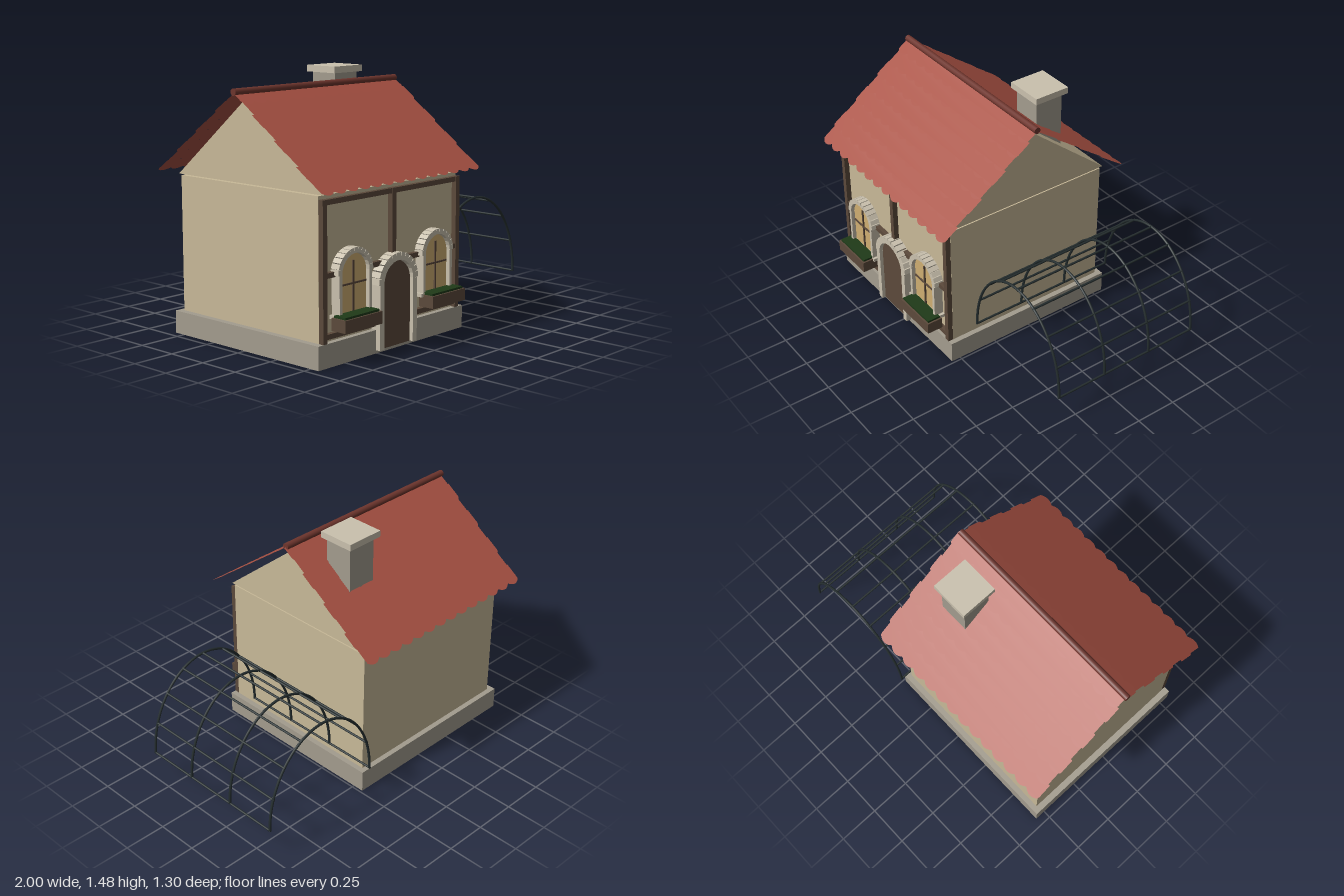
import * as THREE from 'three';
import { mergeGeometries } from 'three/addons/utils/BufferGeometryUtils.js';

const mat = (color, extra = {}) => new THREE.MeshStandardMaterial({ color, ...extra });
const M = {
  wall: mat(0xc8b998), stone: mat(0xa39c8e), paleStone: mat(0xcac1ae), timber: mat(0x5c4a3b),
  roof: mat(0xa85143, { side: THREE.DoubleSide }), ridge: mat(0x6e352d), glass: mat(0xcfae72),
  leaf: mat(0x1f3a18), frame: mat(0x252e2f),
};
const CX = -0.356; // centre line of the house

function add(parent, name, geometry, material) {
  const mesh = new THREE.Mesh(geometry, material);
  mesh.name = name;
  parent.add(mesh);
  return mesh;
}

// Box given by its two extreme corners
function box(parent, name, material, x0, x1, y0, y1, z0, z1) {
  const mesh = add(parent, name, new THREE.BoxGeometry(x1 - x0, y1 - y0, z1 - z0), material);
  mesh.position.set((x0 + x1) / 2, (y0 + y1) / 2, (z0 + z1) / 2);
  return mesh;
}

// Round-topped panel for the door and the windows
function archPanel(parent, name, material, cx, r, y0, spring, z0, z1) {
  const s = new THREE.Shape();
  s.moveTo(cx - r, y0);
  s.lineTo(cx + r, y0);
  s.lineTo(cx + r, spring);
  s.absarc(cx, spring, r, 0, Math.PI, false);
  s.closePath();
  const g = new THREE.ExtrudeGeometry(s, { depth: z1 - z0, bevelEnabled: false, curveSegments: 20 });
  g.translate(0, 0, z0);
  add(parent, name, g, material);
}

// Two jambs and a ring of separate arch stones
function stoneSurround(parent, cx, r, jamb, ring, y0, spring, z0, z1, count) {
  for (const s of [-1, 1]) {
    const a = cx + s * r, b = cx + s * (r + jamb);
    box(parent, 'jamb', M.paleStone, Math.min(a, b), Math.max(a, b), y0, spring, z0, z1);
  }
  const mid = r + ring / 2;
  for (let i = 0; i < count; i++) {
    const t = Math.PI * (i + 0.5) / count;
    const g = new THREE.BoxGeometry(ring, Math.PI * mid / count * 0.97, z1 - z0);
    const stone = add(parent, 'archStone', g, M.paleStone);
    stone.position.set(cx + Math.cos(t) * mid, spring + Math.sin(t) * mid, (z0 + z1) / 2);
    stone.rotation.z = t;
  }
}

// One roof slope made of overlapping strips of round-ended tiles
function roofSlope() {
  const rows = 8, cols = 14, length = 0.8, w = 1.285 / cols, step = length / rows;
  const strips = [];
  for (let r = 0; r < rows; r++) {
    const x0 = -cols * w / 2 + (r % 2 ? 0.005 : -0.005);
    const low = -(r + 1) * step, top = Math.min(0, -r * step + 0.025);
    const s = new THREE.Shape();
    s.moveTo(x0 + cols * w, top);
    s.lineTo(x0, top);
    s.lineTo(x0, low + 0.035);
    for (let i = 0; i < cols; i++) {
      const a = x0 + i * w;
      s.lineTo(a + 0.002, low + 0.02);
      s.quadraticCurveTo(a + w / 2, low - 0.02, a + w - 0.002, low + 0.02);
    }
    s.lineTo(x0 + cols * w, low + 0.035);
    s.closePath();
    const g = new THREE.ShapeGeometry(s, 6);
    const p = g.attributes.position;
    for (let i = 0; i < p.count; i++) p.setZ(i, 0.005 * (top - p.getY(i)) / (top - low));
    g.computeVertexNormals();
    strips.push(g);
  }
  const g = mergeGeometries(strips);
  g.rotateX(-Math.atan2(0.8, 0.6));
  return g;
}

function buildHouse() {
  const house = new THREE.Group();
  house.name = 'house';
  box(house, 'foundation', M.stone, -0.952, 0.235, 0, 0.13, -0.565, 0.557);
  box(house, 'walls', M.wall, -0.915, 0.203, 0.001, 0.904, -0.533, 0.525);

  // Attic prism with a gable at each end
  const gable = new THREE.Shape();
  gable.moveTo(-0.549, 0.911);
  gable.lineTo(0.549, 0.911);
  gable.lineTo(0, 1.363);
  gable.closePath();
  const attic = new THREE.ExtrudeGeometry(gable, { depth: 1.118, bevelEnabled: false });
  attic.rotateY(Math.PI / 2);
  add(house, 'attic', attic, M.wall).position.set(-0.915, 0, -0.004);

  // Roof
  const slope = roofSlope();
  for (const turn of [0, Math.PI]) {
    const m = add(house, turn ? 'backRoof' : 'frontRoof', slope, M.roof);
    m.position.set(-0.3525, 1.4, -0.006);
    m.rotation.y = turn;
  }
  const ridge = new THREE.CylinderGeometry(0.02, 0.02, 1.285, 12).rotateZ(Math.PI / 2);
  add(house, 'ridgeCap', ridge, M.ridge).position.set(-0.3575, 1.404, -0.006);

  // Chimney
  box(house, 'chimney', M.stone, -0.083, 0.1, 0.9, 1.445, -0.316, -0.141);
  box(house, 'chimneyCap', M.paleStone, -0.108, 0.125, 1.445, 1.483, -0.341, -0.119);

  // Timber framing on the front
  const post = (x, y0) => box(house, 'timberPost', M.timber, x - 0.016, x + 0.016, y0, 0.885, 0.52, 0.556);
  post(-0.898, 0.13);
  post(0.186, 0.13);
  post(CX - 0.004, 0.475);
  for (const y of [0.163, 0.487, 0.87])
    box(house, 'timberBeam', M.timber, -0.913, 0.201, y - 0.014, y + 0.014, 0.52, 0.552);

  // Door
  archPanel(house, 'door', M.timber, CX, 0.118, 0.018, 0.37, 0.5, 0.565);
  stoneSurround(house, CX, 0.118, 0.034, 0.042, 0.018, 0.375, 0.51, 0.587, 13);

  // Windows with flower boxes
  for (const s of [-1, 1]) {
    const x = CX + s * 0.337, bx = x + s * 0.015;
    const win = new THREE.Group();
    win.name = s < 0 ? 'rightWindow' : 'leftWindow';
    house.add(win);
    archPanel(win, 'pane', M.glass, x, 0.105, 0.25, 0.477, 0.5, 0.558);
    box(win, 'mullion', M.timber, x - 0.005, x + 0.005, 0.26, 0.545, 0.55, 0.566);
    box(win, 'glazingBar', M.timber, x - 0.1, x + 0.1, 0.417, 0.427, 0.55, 0.565);
    stoneSurround(win, x, 0.105, 0.02, 0.03, 0.26, 0.48, 0.51, 0.582, 13);
    box(win, 'sill', M.paleStone, x - 0.142, x + 0.142, 0.25, 0.27, 0.52, 0.585);
    box(win, 'flowerBox', M.timber, bx - 0.143, bx + 0.143, 0.194, 0.262, 0.555, 0.653);
    box(win, 'plants', M.leaf, bx - 0.132, bx + 0.132, 0.255, 0.274, 0.562, 0.643);
  }
  return house;
}

// Open arched frame beside the house
function buildTunnel() {
  const tunnel = new THREE.Group();
  tunnel.name = 'archedFrame';
  const at = (t, z) => new THREE.Vector3(0.603 + 0.386 * Math.cos(t), 0.18 + 0.508 * Math.sin(t), z);
  const z0 = -0.6, z1 = 0.363;
  for (let i = 0; i < 4; i++) {
    const z = z0 + (z1 - z0) * i / 3;
    const pts = Array.from({ length: 33 }, (_, k) => at(Math.PI * k / 32, z));
    const curve = new THREE.CatmullRomCurve3(pts);
    add(tunnel, 'hoop', new THREE.TubeGeometry(curve, 48, 0.0075, 8), M.frame);
  }
  for (let k = 0; k <= 8; k++) {
    const rail = new THREE.CylinderGeometry(0.0065, 0.0065, z1 - z0 + 0.012, 8).rotateX(Math.PI / 2);
    add(tunnel, 'rail', rail, M.frame).position.copy(at(Math.PI * k / 8, (z0 + z1) / 2));
  }
  return tunnel;
}

export function createModel() {
  const model = new THREE.Group();
  model.name = 'cottage';
  model.add(buildHouse(), buildTunnel());
  return model;
}
